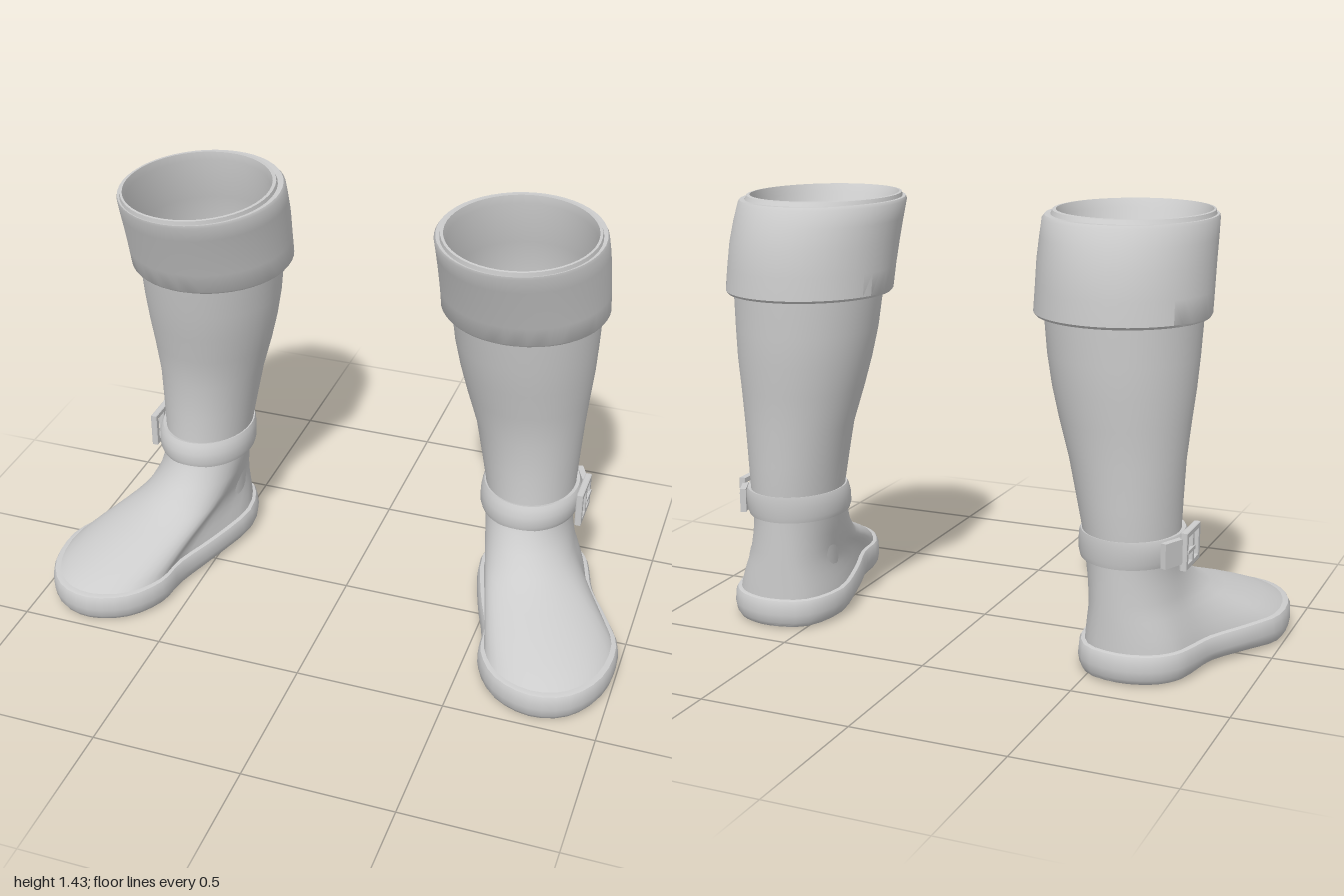
import * as THREE from 'three';
import { toCreasedNormals } from 'three/addons/utils/BufferGeometryUtils.js';

const K = 16; // control points per ring
const N = 48; // samples per ring

// Ring control points run back -> outer side -> front -> inner side, as [x, z]
const SOLE = [
  [0.61, -0.41], [0.72, -0.385], [0.785, -0.325], [0.815, -0.25],
  [0.85, -0.14], [0.93, 0.0], [0.993, 0.14], [0.98, 0.31],
  [0.9, 0.435], [0.775, 0.475], [0.645, 0.425], [0.565, 0.31],
  [0.545, 0.18], [0.485, 0.01], [0.435, -0.2], [0.485, -0.36],
];

function oval(x0, x1, z0, z1) {
  return Array.from({ length: K }, (_, i) => {
    const a = (i / K) * Math.PI * 2;
    return [(x0 + x1) / 2 + Math.sin(a) * (x1 - x0) / 2, (z0 + z1) / 2 - Math.cos(a) * (z1 - z0) / 2];
  });
}

function inset(pts, d) {
  return pts.map(([x, z], i) => {
    const a = pts[(i + K - 1) % K], b = pts[(i + 1) % K];
    const tx = b[0] - a[0], tz = b[1] - a[1], l = Math.hypot(tx, tz);
    return [x - (tz / l) * d, z + (tx / l) * d];
  });
}

const blend = (p, q, t) => p.map(([x, z], i) => [x + (q[i][0] - x) * t, z + (q[i][1] - z) * t]);

// Smooth closed ring; y is a number or a function of (x, z)
function ring(y, pts) {
  const height = typeof y === 'function' ? y : () => y;
  const curve = new THREE.CatmullRomCurve3(
    pts.map(([x, z]) => new THREE.Vector3(x, height(x, z), z)), true, 'catmullrom', 0.5);
  return Array.from({ length: N }, (_, i) => curve.getPoint(i / N));
}

// Skin a list of rings, with optional caps on the first and last ring
function loft(rings, capStart = false, capEnd = false) {
  const pos = [], idx = [];
  rings.forEach(r => r.forEach(p => pos.push(p.x, p.y, p.z)));
  for (let r = 0; r < rings.length - 1; r++) {
    for (let j = 0; j < N; j++) {
      const a = r * N + j, b = r * N + (j + 1) % N;
      idx.push(a, a + N, b, b, a + N, b + N);
    }
  }
  const cap = (r, up) => {
    const c = new THREE.Vector3();
    rings[r].forEach(p => c.addScaledVector(p, 1 / N));
    const m = pos.length / 3;
    pos.push(c.x, c.y, c.z);
    for (let j = 0; j < N; j++) {
      const a = r * N + j, b = r * N + (j + 1) % N;
      if (up) idx.push(m, b, a); else idx.push(m, a, b);
    }
  };
  if (capStart) cap(0, false);
  if (capEnd) cap(rings.length - 1, true);
  const g = new THREE.BufferGeometry();
  g.setAttribute('position', new THREE.Float32BufferAttribute(pos, 3));
  g.setIndex(idx);
  return toCreasedNormals(g, 0.7);
}

// Mirror a geometry in x, keeping faces outward
function mirrored(geo) {
  const g = geo.index ? geo.toNonIndexed() : geo.clone();
  g.deleteAttribute('uv');
  g.scale(-1, 1, 1);
  for (const name of ['position', 'normal']) {
    const arr = g.attributes[name].array;
    for (let i = 0; i < arr.length; i += 9) {
      for (let k = 3; k < 6; k++) [arr[i + k], arr[i + k + 3]] = [arr[i + k + 3], arr[i + k]];
    }
  }
  return g;
}

function bootParts() {
  const parts = {};

  // Sole with rounded edges and a shallow arch
  const arch = y => (x, z) => y + 0.014 * Math.exp(-(((z + 0.08) / 0.13) ** 2));
  parts.sole = loft([
    ring(arch(0.0), inset(SOLE, 0.03)),
    ring(arch(0.006), inset(SOLE, 0.012)),
    ring(arch(0.022), inset(SOLE, 0.002)),
    ring(0.05, inset(SOLE, -0.003)),
    ring(0.085, SOLE),
    ring(0.097, inset(SOLE, 0.006)),
    ring(0.1, inset(SOLE, 0.016)),
    ring(0.1, inset(SOLE, 0.05)),
  ], true, false);

  // Foot blending from the sole outline to the ankle, then the shaft
  const foot = inset(SOLE, 0.018);
  const ankle = oval(0.45, 0.74, -0.39, -0.01);
  const footSteps = [[0.095, 0], [0.115, 0.07], [0.14, 0.19], [0.17, 0.35], [0.2, 0.53],
    [0.225, 0.67], [0.25, 0.77], [0.3, 0.91], [0.36, 1]];
  const shaft = [
    [0.41, 0.445, 0.745, -0.39, -0.035], [0.46, 0.44, 0.745, -0.395, -0.04],
    [0.56, 0.42, 0.75, -0.402, -0.04], [0.68, 0.395, 0.757, -0.408, -0.04],
    [0.8, 0.36, 0.768, -0.42, -0.015], [0.9, 0.335, 0.778, -0.433, 0.01],
    [1.0, 0.316, 0.784, -0.44, 0.033], [1.14, 0.3, 0.79, -0.446, 0.057],
  ];
  parts.upper = loft([
    ...footSteps.map(([y, t]) => ring(y, blend(foot, ankle, t))),
    ...shaft.map(([y, ...b]) => ring(y, oval(...b))),
  ]);

  // Folded cuff, leaning forward at the top
  parts.cuff = loft([
    [1.122, 0.3, 0.79, -0.446, 0.056], [1.12, 0.276, 0.808, -0.472, 0.083],
    [1.128, 0.27, 0.813, -0.479, 0.09], [1.2, 0.27, 0.811, -0.474, 0.118],
    [1.285, 0.268, 0.808, -0.464, 0.152], [1.35, 0.267, 0.805, -0.442, 0.179],
    [1.405, 0.266, 0.801, -0.418, 0.202], [1.415, 0.272, 0.797, -0.41, 0.203],
    [1.414, 0.288, 0.786, -0.385, 0.197],
  ].map(([y, ...b]) => ring(y, oval(...b))));

  // Lining from the rim down to the insole
  parts.lining = loft([
    [1.41, 0.286, 0.787, -0.387, 0.198], [1.427, 0.29, 0.783, -0.375, 0.196],
    [1.428, 0.3, 0.775, -0.36, 0.188], [1.4, 0.308, 0.77, -0.358, 0.17],
    [1.25, 0.32, 0.765, -0.39, 0.1], [1.12, 0.328, 0.762, -0.412, 0.028],
    [0.9, 0.362, 0.75, -0.4, -0.02], [0.68, 0.42, 0.73, -0.378, -0.07],
    [0.36, 0.47, 0.715, -0.36, -0.06], [0.12, 0.47, 0.715, -0.36, -0.06],
  ].map(([y, ...b]) => ring(y, oval(...b))), false, true);

  // Padded ankle strap
  parts.strap = loft([
    [0.37, 0.45, 0.735, -0.38, -0.03], [0.368, 0.432, 0.758, -0.394, -0.017],
    [0.385, 0.427, 0.765, -0.398, -0.012], [0.42, 0.427, 0.767, -0.401, -0.014],
    [0.445, 0.43, 0.764, -0.402, -0.024], [0.458, 0.435, 0.757, -0.401, -0.031],
    [0.455, 0.45, 0.74, -0.385, -0.045],
  ].map(([y, ...b]) => ring(y, oval(...b))));

  // Strap keeper beside the buckle
  parts.strapKeeper = new THREE.BoxGeometry(0.02, 0.08, 0.085)
    .rotateY(0.42).translate(0.752, 0.413, -0.305);

  // Buckle frame with two windows
  const rect = (Type, x0, x1, y0, y1) => new Type([[x0, y0], [x1, y0], [x1, y1], [x0, y1]]
    .map(p => new THREE.Vector2(...p)));
  const frame = rect(THREE.Shape, -0.07, 0.07, -0.058, 0.058);
  frame.holes.push(rect(THREE.Path, -0.054, -0.007, -0.043, 0.043), rect(THREE.Path, 0.007, 0.054, -0.043, 0.043));
  parts.buckle = new THREE.ExtrudeGeometry(frame, { depth: 0.016, bevelThickness: 0.003, bevelSize: 0.002, bevelSegments: 1 })
    .rotateY(Math.PI / 2).translate(0.77, 0.411, -0.205);
  parts.bucklePin = new THREE.BoxGeometry(0.012, 0.012, 0.07).translate(0.787, 0.408, -0.235);
  return parts;
}

export function createModel() {
  const grey = new THREE.MeshStandardMaterial({ color: 0xcccccc, side: THREE.DoubleSide });
  grey.name = 'light grey';
  const model = new THREE.Group();
  model.name = 'pairOfBoots';
  const parts = bootParts();
  for (const side of ['left', 'right']) {
    const boot = new THREE.Group();
    boot.name = side + 'Boot';
    for (const [name, geo] of Object.entries(parts)) {
      const mesh = new THREE.Mesh(side === 'left' ? geo : mirrored(geo), grey);
      mesh.name = name;
      boot.add(mesh);
    }
    model.add(boot);
  }
  return model;
}
